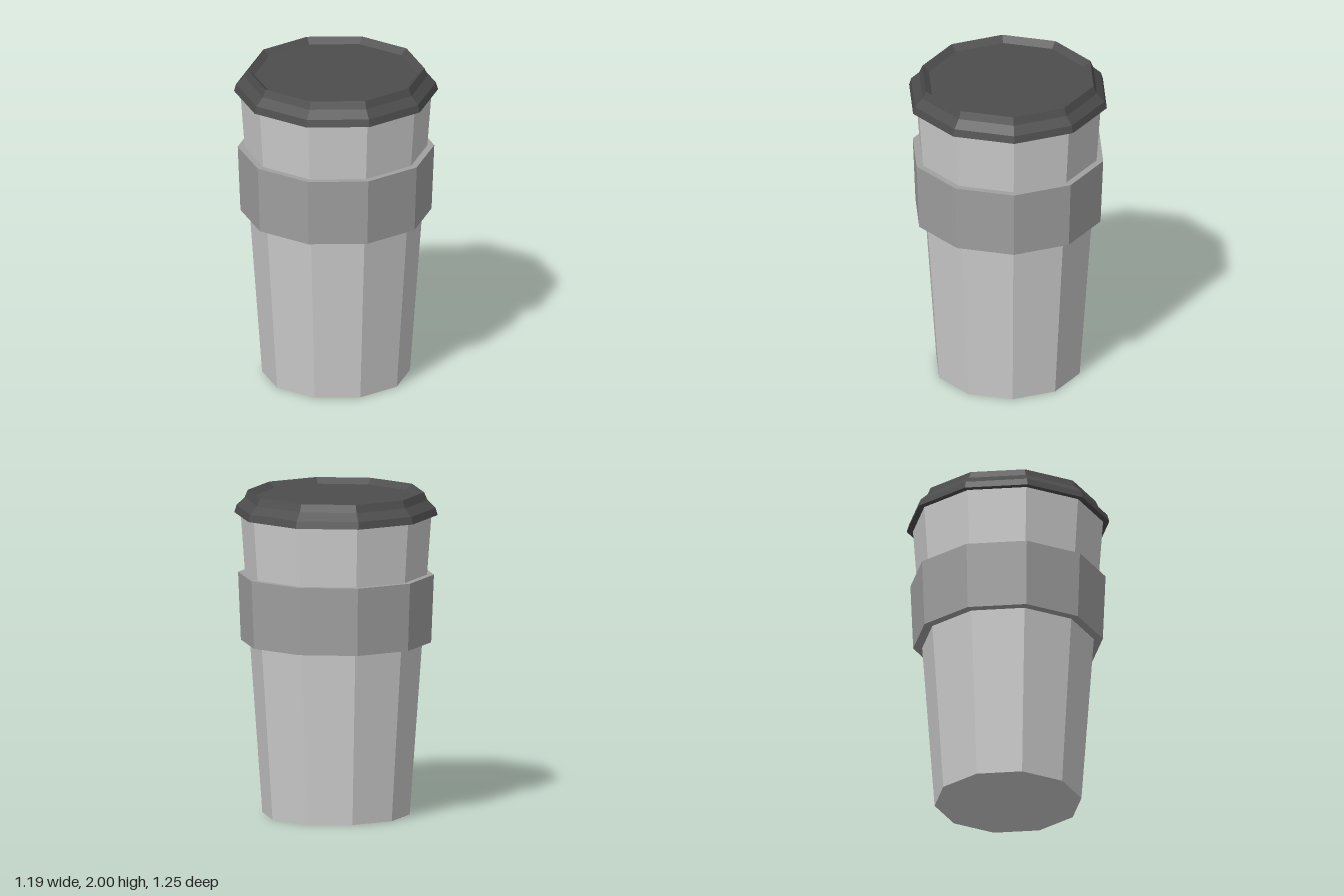
import * as THREE from 'three';

const SIDES = 10;

// Ten-sided part turned from a [radius, height] profile, listed from the bottom outwards and up
function turnedPart(name, color, profile) {
  const points = profile.map(([r, y]) => new THREE.Vector2(r, y));
  const material = new THREE.MeshStandardMaterial({ color, flatShading: true });
  const mesh = new THREE.Mesh(new THREE.LatheGeometry(points, SIDES), material);
  mesh.name = name;
  return mesh;
}

export function createModel() {
  const group = new THREE.Group();
  group.name = 'travelCup';

  // Tapered body, closed at the base and under the lid
  group.add(turnedPart('cupBody', 0xcccccc, [
    [0, 0], [0.453, 0], [0.587, 1.87], [0, 1.87],
  ]));

  // Band around the body
  group.add(turnedPart('sleeve', 0xa0a0a0, [
    [0.525, 1.07], [0.585, 1.07], [0.602, 1.49], [0.555, 1.49],
  ]));

  // Lid with a stepped rim and a shallow recessed top
  group.add(turnedPart('lid', 0x4d4d4d, [
    [0.57, 1.86], [0.625, 1.86], [0.612, 1.905], [0.562, 1.953],
    [0.542, 2], [0.5, 1.965], [0, 1.965],
  ]));

  return group;
}
